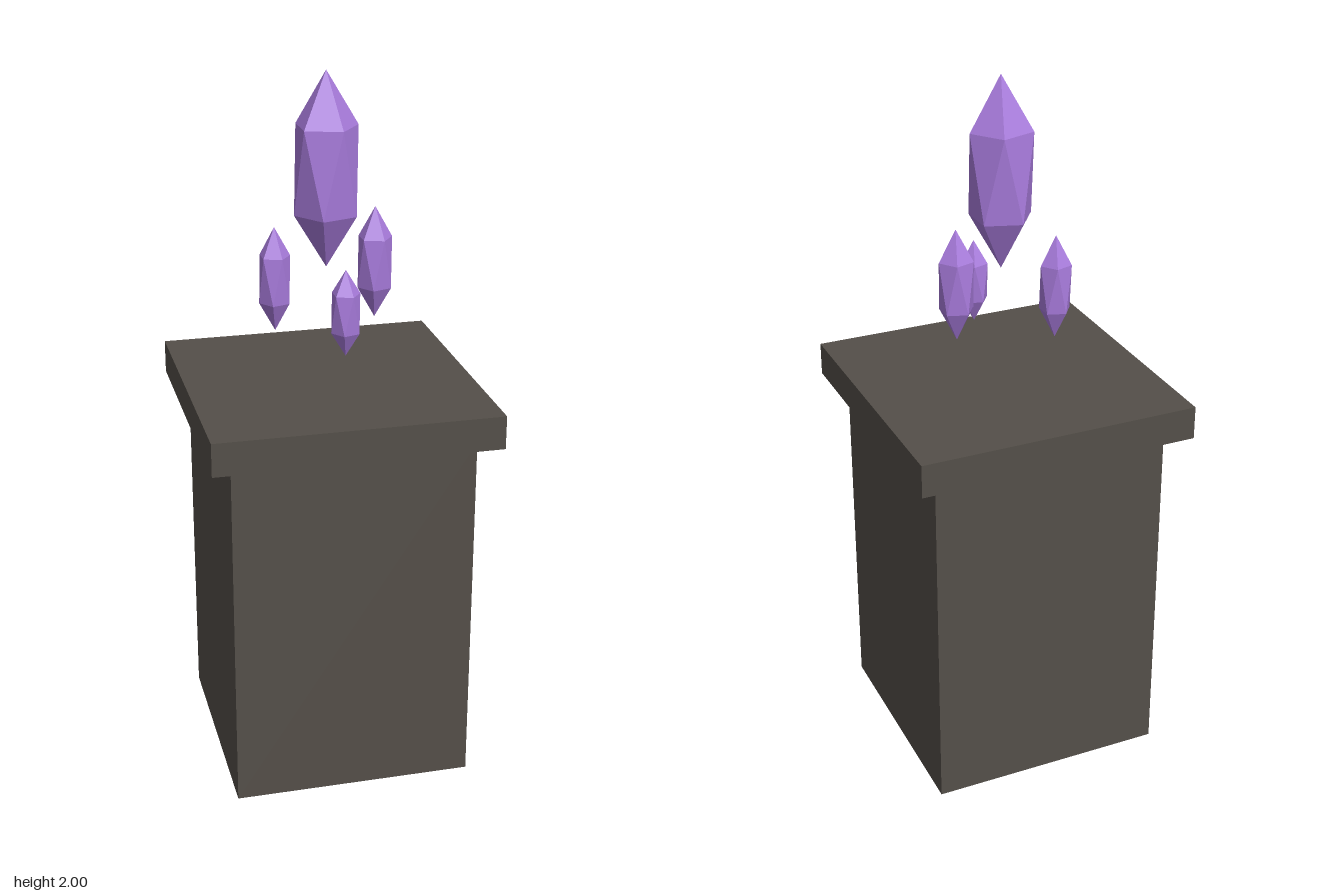
import * as THREE from 'three';

export function createModel() {
  const model = new THREE.Group();
  model.name = 'crystalPedestal';

  const stone = new THREE.MeshStandardMaterial({ color: 0x544f49 });
  stone.name = 'darkStone';
  const violet = new THREE.MeshStandardMaterial({ color: 0xa87bdc, flatShading: true });
  violet.name = 'violetCrystal';

  // Square block resting on the given height
  function addBlock(name, width, bottom, height) {
    const mesh = new THREE.Mesh(new THREE.BoxGeometry(width, height, width), stone);
    mesh.name = name;
    mesh.position.y = bottom + height / 2;
    model.add(mesh);
  }

  // Icosahedron turned to stand on a vertex, then stretched upwards
  function addCrystal(name, radius, halfHeight, x, y, z) {
    const geometry = new THREE.IcosahedronGeometry(radius, 0);
    geometry.rotateZ(-Math.atan(2 / (1 + Math.sqrt(5))));
    geometry.scale(1, halfHeight / radius, 1);
    const mesh = new THREE.Mesh(geometry, violet);
    mesh.name = name;
    mesh.position.set(x, y, z);
    model.add(mesh);
  }

  // Pedestal
  addBlock('column', 0.68, 0, 1.04);
  addBlock('topSlab', 0.8, 1.04, 0.095);

  // Floating crystals
  addCrystal('mainCrystal', 0.1, 0.27, 0, 1.73, 0);
  addCrystal('leftCrystal', 0.055, 0.16, 0.15, 1.45, -0.042);
  addCrystal('rightCrystal', 0.05, 0.15, -0.13, 1.41, -0.074);
  addCrystal('frontCrystal', 0.045, 0.122, 0.02, 1.37, 0.143);

  return model;
}
